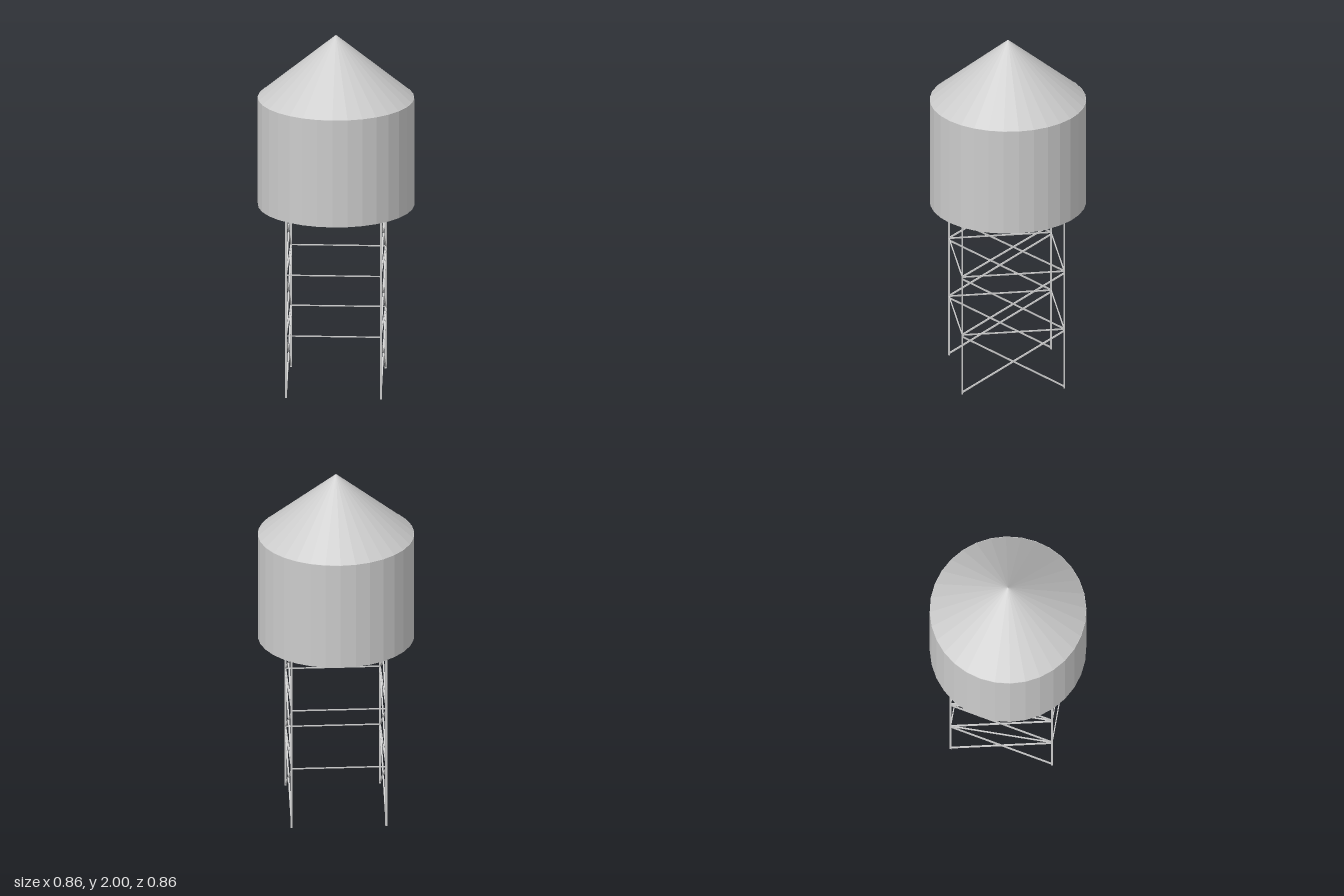
import * as THREE from 'three';

const material = new THREE.MeshStandardMaterial({ color: 0xcccccc, flatShading: true });

const LEG_X = 0.26;
const FRONT_Z = 0.29;
const BACK_Z = -0.275;
const TANK_BASE = 1.026;
const TANK_TOP = 1.64;

function addMesh(parent, name, geometry) {
  const mesh = new THREE.Mesh(geometry, material);
  mesh.name = name;
  parent.add(mesh);
  return mesh;
}

// Square bar running between two points
function addBar(parent, name, from, to, width, depth = width) {
  const a = new THREE.Vector3(...from);
  const b = new THREE.Vector3(...to);
  const bar = addMesh(parent, name, new THREE.BoxGeometry(width, a.distanceTo(b), depth));
  bar.position.copy(a).lerp(b, 0.5);
  bar.quaternion.setFromUnitVectors(new THREE.Vector3(0, 1, 0), b.sub(a).normalize());
}

export function createModel() {
  const model = new THREE.Group();
  model.name = 'waterTower';

  // Tank and conical roof
  const tank = addMesh(model, 'tank',
    new THREE.CylinderGeometry(0.43, 0.43, TANK_TOP - TANK_BASE, 32));
  tank.position.y = (TANK_TOP + TANK_BASE) / 2;
  const roof = addMesh(model, 'roof', new THREE.ConeGeometry(0.428, 2 - TANK_TOP, 32));
  roof.position.y = (2 + TANK_TOP) / 2;

  const frame = new THREE.Group();
  frame.name = 'supportFrame';
  model.add(frame);

  // Four legs
  for (const x of [-LEG_X, LEG_X])
    for (const z of [FRONT_Z, BACK_Z])
      addBar(frame, 'leg', [x, 0, z], [x, TANK_BASE, z], 0.011, 0.009);

  // Horizontal rails on all four sides at two levels
  for (const y of [0.355, 0.704]) {
    for (const z of [FRONT_Z, BACK_Z])
      addBar(frame, 'crossRail', [-LEG_X, y, z], [LEG_X, y, z], 0.006);
    for (const x of [-LEG_X, LEG_X])
      addBar(frame, 'sideRail', [x, y, BACK_Z], [x, y, FRONT_Z], 0.007);
  }

  // X-bracing in three tiers on the left and right sides
  for (const x of [-LEG_X, LEG_X])
    for (const [low, high] of [[0.01, 0.345], [0.357, 0.692], [0.706, 1.03]]) {
      addBar(frame, 'brace', [x, low, FRONT_Z], [x, high, BACK_Z], 0.008);
      addBar(frame, 'brace', [x, high, FRONT_Z], [x, low, BACK_Z], 0.008);
    }

  return model;
}
